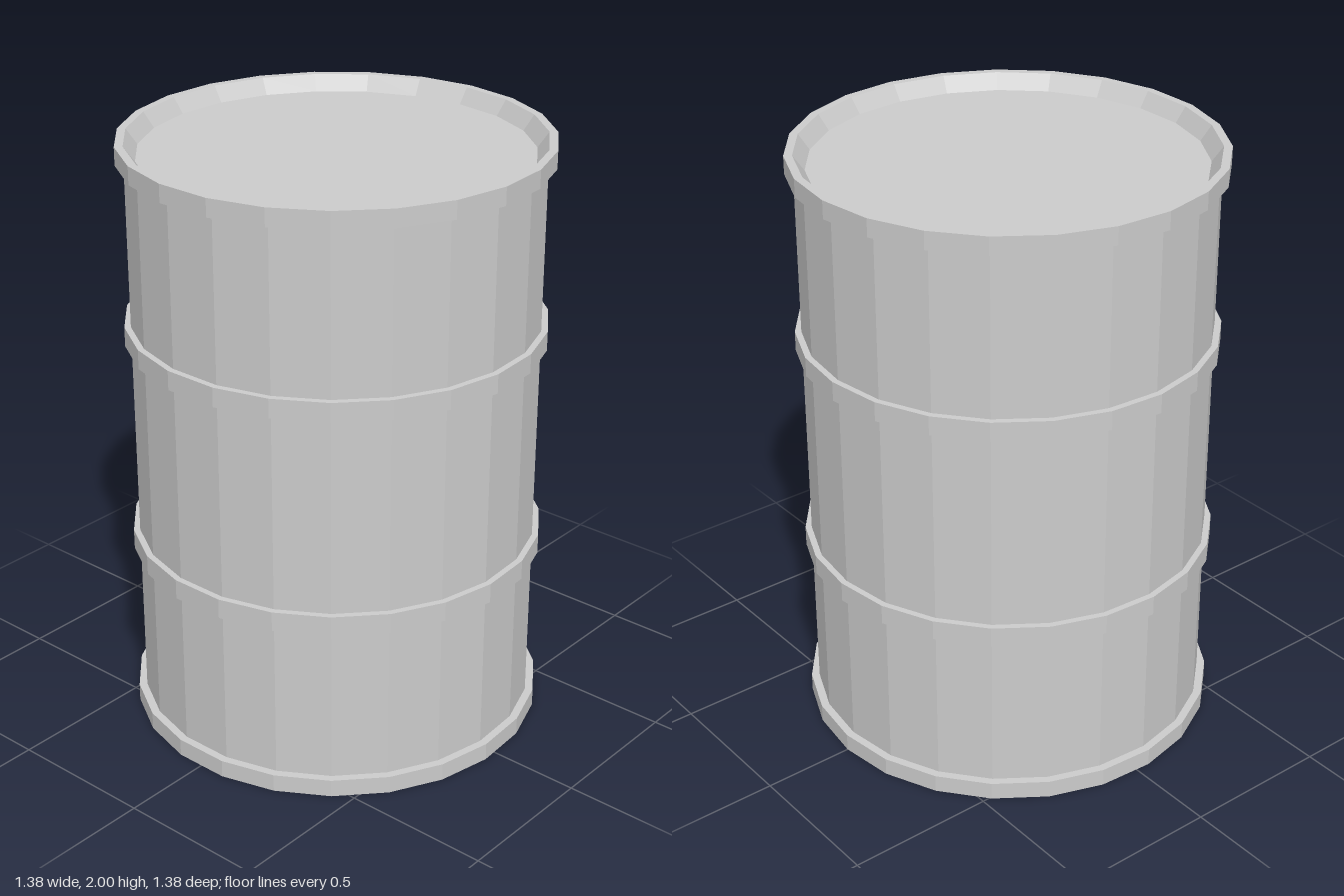
import * as THREE from 'three';

const SIDES = 23;
const BODY_R = 0.666, RIM_R = 0.693, HOOP_R = 0.687, LID_R = 0.63;
const HEIGHT = 2, RIM_H = 0.06, LID_DEPTH = 0.05;

const material = new THREE.MeshStandardMaterial({ color: 0xcccccc, flatShading: true });

// Faceted ring or disc turned from a [radius, y] profile, with a corner at the back
function turned(name, profile) {
  const points = profile.map(([r, y]) => new THREE.Vector2(r, y));
  const mesh = new THREE.Mesh(new THREE.LatheGeometry(points, SIDES, Math.PI), material);
  mesh.name = name;
  return mesh;
}

// Raised band around the body
function band(name, radius, y0, y1) {
  return turned(name, [[BODY_R, y0], [radius, y0], [radius, y1], [BODY_R, y1]]);
}

export function createModel() {
  const drum = new THREE.Group();
  drum.name = 'drum';

  // Straight wall
  drum.add(turned('wall', [[BODY_R, RIM_H], [BODY_R, HEIGHT - RIM_H]]));

  // Rims at both ends
  drum.add(band('bottomRim', RIM_R, 0, RIM_H));
  drum.add(band('topRim', RIM_R, HEIGHT - RIM_H, HEIGHT));

  // Two rolling hoops
  drum.add(band('lowerHoop', HOOP_R, 0.6, 0.667));
  drum.add(band('upperHoop', HOOP_R, 1.335, 1.4));

  // Recessed ends with a sloping inner lip
  drum.add(turned('base', [[0, LID_DEPTH], [LID_R, LID_DEPTH], [BODY_R, 0]]));
  drum.add(turned('lid', [[BODY_R, HEIGHT], [LID_R, HEIGHT - LID_DEPTH], [0, HEIGHT - LID_DEPTH]]));

  // Odd number of sides: shift so the depth is centred
  drum.position.z = RIM_R * (1 - Math.cos(Math.PI / SIDES)) / 2;

  const model = new THREE.Group();
  model.name = 'barrel';
  model.add(drum);
  return model;
}
